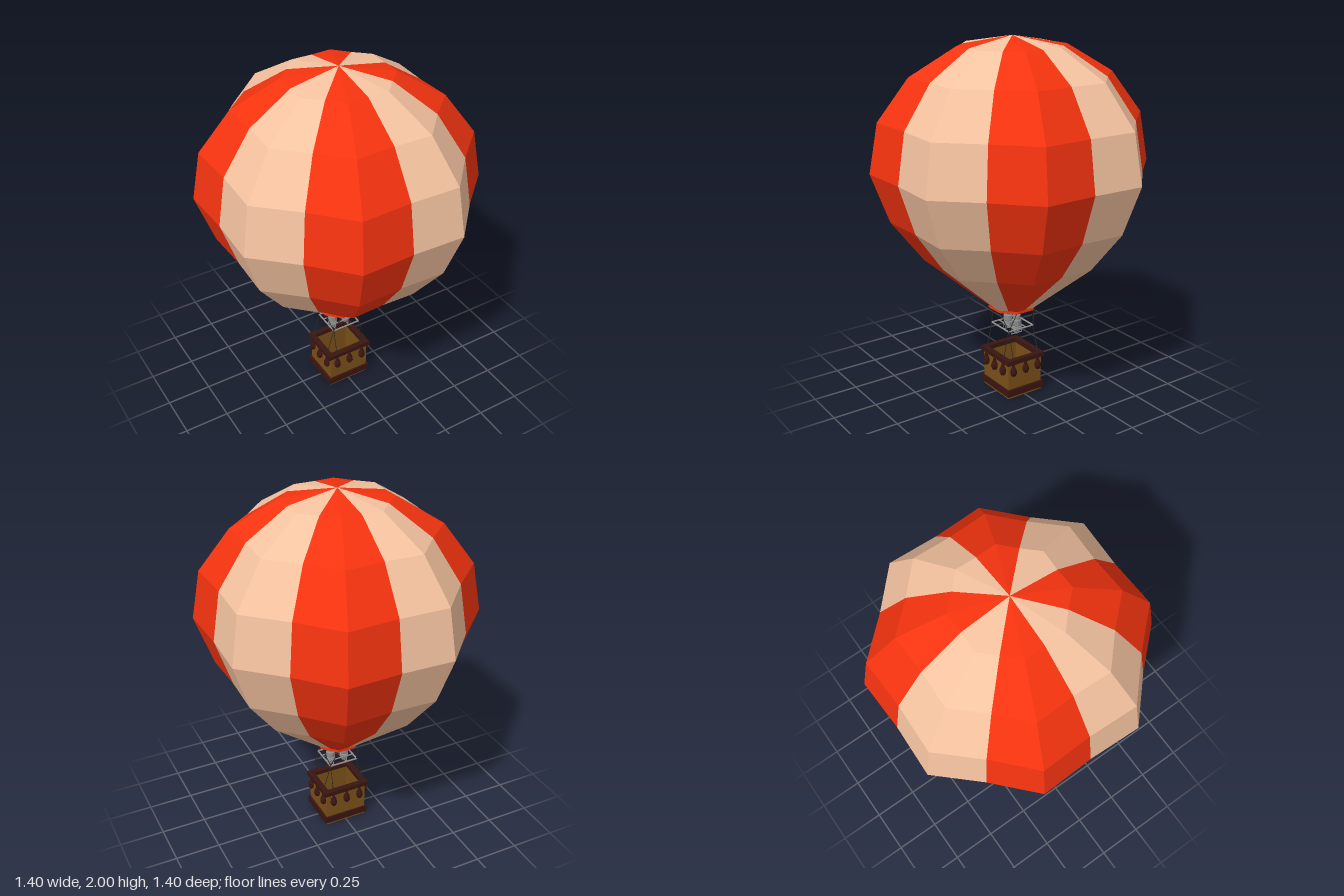
import * as THREE from 'three';

const mat = (color, side = THREE.FrontSide) =>
  new THREE.MeshStandardMaterial({ color, flatShading: true, side });
const RED = 0xf5330f, TAN = 0xf5c3a0, WICKER = 0x7a5018, LEATHER = 0x3a1510, ROPE = 0x2a2622, STEEL = 0x8c8c8c;

function add(parent, name, geometry, material, x = 0, y = 0, z = 0) {
  const mesh = new THREE.Mesh(geometry, material);
  mesh.name = name;
  mesh.position.set(x, y, z);
  parent.add(mesh);
  return mesh;
}

// Straight round bar between two points
function bar(parent, name, a, b, r, material, sides = 5) {
  const from = new THREE.Vector3(...a), to = new THREE.Vector3(...b);
  const dir = to.clone().sub(from);
  const mesh = add(parent, name, new THREE.CylinderGeometry(r, r, dir.length(), sides), material);
  mesh.position.copy(from).add(to).multiplyScalar(0.5);
  mesh.quaternion.setFromUnitVectors(new THREE.Vector3(0, 1, 0), dir.normalize());
}

// Hollow rectangular band, centred on the origin
function band(hx, hz, y0, y1, t) {
  const rect = (s, a, b) => s.moveTo(-a, -b).lineTo(a, -b).lineTo(a, b).lineTo(-a, b).closePath();
  const shape = rect(new THREE.Shape(), hx, hz);
  shape.holes.push(rect(new THREE.Path(), hx - t, hz - t));
  return new THREE.ExtrudeGeometry(shape, { depth: y1 - y0, bevelEnabled: false })
    .rotateX(-Math.PI / 2).translate(0, y0, 0);
}

// Lathe with radius, height pairs
const lathe = (pts, sides, start = 0) =>
  new THREE.LatheGeometry(pts.map(p => new THREE.Vector2(...p)), sides, start);

// Eight gores, each folded along a ridge, valleys between them
function goreGeometry(parity) {
  const profile = [[0.118, 0.51], [0.45, 0.81], [0.61, 1.035], [0.7, 1.305],
    [0.655, 1.575], [0.5, 1.8], [0.27, 1.95], [0, 2]];
  const point = (i, j) => {
    const [s, y] = profile[j];
    const r = i % 2 ? s / Math.cos(Math.PI / 8) : s * 0.985;
    const a = i * Math.PI / 8;
    return [r * Math.sin(a), y, r * Math.cos(a)];
  };
  const pos = [];
  for (let i = 0; i < 16; i++) {
    if ((i >> 1) % 2 !== parity) continue;
    for (let j = 0; j < profile.length - 1; j++) {
      const a = point(i, j), b = point(i + 1, j), c = point(i + 1, j + 1), d = point(i, j + 1);
      pos.push(...a, ...b, ...c);
      if (j < profile.length - 2) pos.push(...a, ...c, ...d);
    }
  }
  const g = new THREE.BufferGeometry();
  g.setAttribute('position', new THREE.Float32BufferAttribute(pos, 3));
  g.computeVertexNormals();
  return g;
}

export function createModel() {
  const model = new THREE.Group();
  model.name = 'hotAirBalloon';

  // Envelope and its mouth ring
  const envelope = new THREE.Group();
  envelope.name = 'envelope';
  add(envelope, 'tanGores', goreGeometry(0), mat(TAN, THREE.DoubleSide));
  add(envelope, 'redGores', goreGeometry(1), mat(RED, THREE.DoubleSide));
  add(envelope, 'mouthRing',
    lathe([[0.118, 0.503], [0.136, 0.503], [0.136, 0.52], [0.118, 0.52], [0.118, 0.503]], 8)
      .rotateY(Math.PI / 8), mat(RED));
  model.add(envelope);

  // Basket: open box with floor, leather rim and base band
  const basket = new THREE.Group();
  basket.name = 'basket';
  const hx = 0.122, hz = 0.112;
  const wicker = mat(WICKER), leather = mat(LEATHER);
  add(basket, 'walls', band(hx, hz, 0, 0.225, 0.012), wicker);
  add(basket, 'floor', new THREE.BoxGeometry(hx * 2 - 0.02, 0.02, hz * 2 - 0.02), wicker, 0, 0.0105, 0);
  add(basket, 'rim', band(hx + 0.015, hz + 0.012, 0.21, 0.235, 0.032), leather);
  add(basket, 'baseBand', band(hx + 0.012, hz + 0.009, 0.016, 0.056, 0.018), leather);

  // Sandbags hanging under the rim
  const bag = lathe([[0, 0.135], [0.012, 0.141], [0.02, 0.158], [0.018, 0.176], [0.009, 0.195], [0.006, 0.214]], 8);
  for (const s of [-1, 1]) for (const t of [-0.083, 0, 0.083]) {
    add(basket, 'sandbag', bag, leather, t, 0, s * (hz + 0.011));
    add(basket, 'sandbag', bag, leather, s * (hx + 0.008), 0, t);
  }
  model.add(basket);

  // Burner frame
  const burner = new THREE.Group();
  burner.name = 'burnerAssembly';
  const steel = mat(STEEL), rope = mat(ROPE);
  const f = 0.083, fy = 0.39;
  for (const s of [-1, 1]) {
    bar(burner, 'frameBar', [-f, fy, s * f], [f, fy, s * f], 0.005, steel, 6);
    bar(burner, 'frameBar', [s * f, fy, -f], [s * f, fy, f], 0.005, steel, 6);
    bar(burner, 'crossBar', [-f, fy, s * 0.034], [f, fy, s * 0.034], 0.004, steel, 6);

    // Twin burners in hanging brackets
    const x = s * 0.042;
    add(burner, 'burner', lathe([[0, 0.352], [0.016, 0.352], [0.018, 0.365], [0.026, 0.372], [0.026, 0.392],
      [0.021, 0.396], [0.026, 0.402], [0.026, 0.43], [0.021, 0.436], [0.022, 0.46], [0.016, 0.46],
      [0.014, 0.43], [0, 0.43]], 10), steel, x, 0, 0);
    bar(burner, 'bracketBase', [x, 0.349, -0.036], [x, 0.349, 0.036], 0.003, steel);
    for (const t of [-0.034, 0.034])
      bar(burner, 'bracketSide', [x, 0.349, t], [x, fy, t], 0.003, steel);
  }
  model.add(burner);

  // Ropes: mouth to frame corner, frame corner to basket rim
  const ropes = new THREE.Group();
  ropes.name = 'ropes';
  for (const sx of [-1, 1]) for (const sz of [-1, 1]) {
    const corner = [sx * f, fy, sz * f];
    bar(ropes, 'upperRope', [sx * 0.12, 0.512, sz * 0.05], corner, 0.002, rope);
    bar(ropes, 'upperRope', [sx * 0.05, 0.512, sz * 0.12], corner, 0.002, rope);
    bar(ropes, 'lowerRope', corner, [sx * (hx + 0.01), 0.225, sz * f], 0.002, rope);
    bar(ropes, 'lowerRope', corner, [sx * f, 0.225, sz * (hz + 0.008)], 0.002, rope);
  }
  model.add(ropes);
  return model;
}
